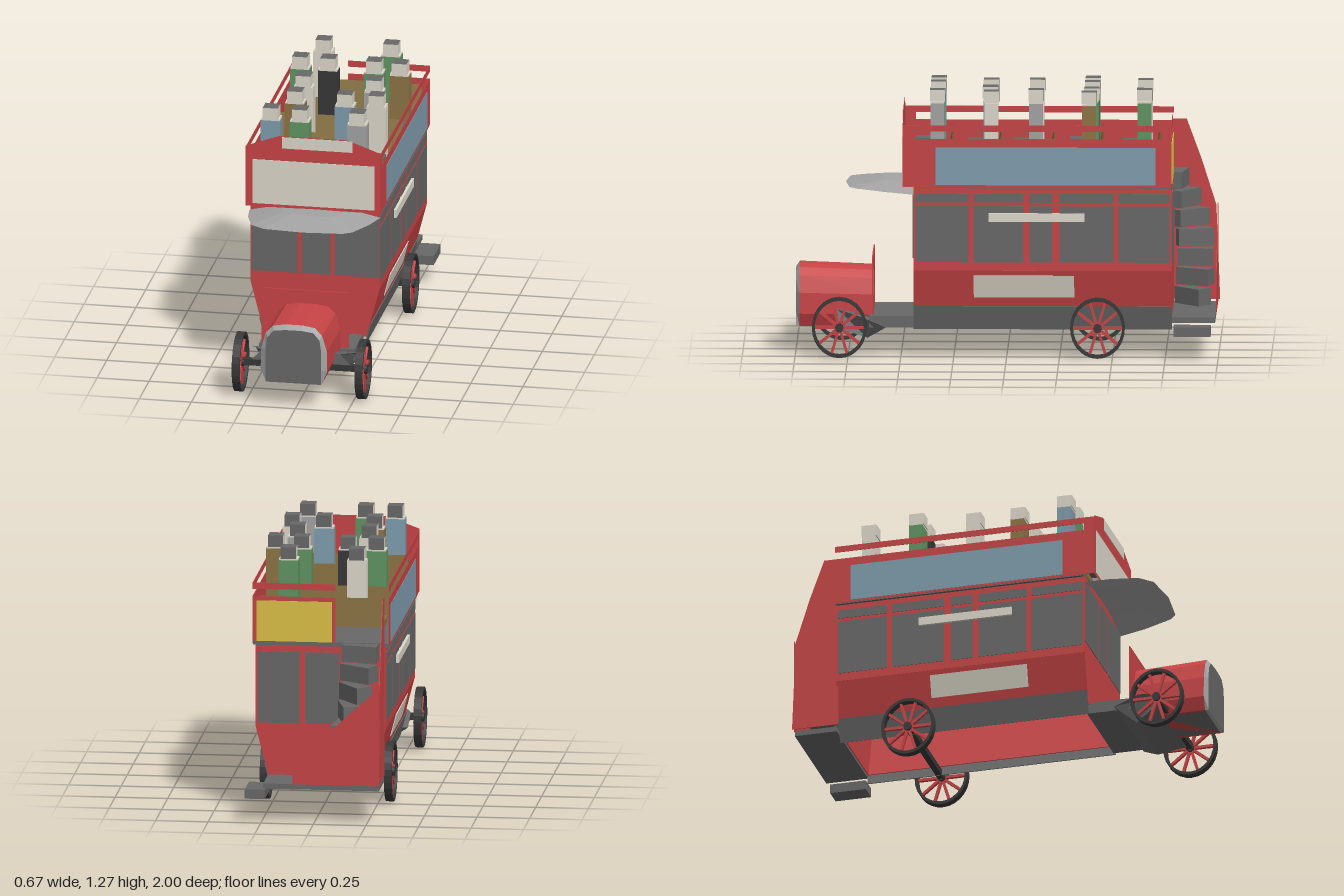
import * as THREE from 'three';

const mat = (name, color) => {
  const m = new THREE.MeshStandardMaterial({ color, side: THREE.DoubleSide });
  m.name = name;
  return m;
};

export function createModel() {
  const red = mat('red', 0xc84446), grey = mat('darkGrey', 0x686868), light = mat('lightGrey', 0xa4a4a4),
    cream = mat('cream', 0xded9cb), blue = mat('blue', 0x809eae), brown = mat('brown', 0x8d7545),
    green = mat('green', 0x619563), yellow = mat('yellow', 0xdcc046), black = mat('black', 0x383838);
  const bus = new THREE.Group();
  bus.name = 'bus';
  const MID = -0.01; // body centre line

  const add = (name, geo, m, parent = bus) => {
    const mesh = new THREE.Mesh(geo, m);
    mesh.name = name;
    parent.add(mesh);
    return mesh;
  };
  const box = (name, m, x0, x1, y0, y1, z0, z1, parent = bus) => {
    const mesh = add(name, new THREE.BoxGeometry(Math.abs(x1 - x0), y1 - y0, Math.abs(z1 - z0)), m, parent);
    mesh.position.set((x0 + x1) / 2, (y0 + y1) / 2, (z0 + z1) / 2);
    return mesh;
  };
  const shape = pts => new THREE.Shape(pts.map(p => new THREE.Vector2(...p)));
  // outline in x,y pushed along z
  const prism = (name, m, pts, z0, z1) => {
    const g = new THREE.ExtrudeGeometry(shape(pts), { depth: z1 - z0, bevelEnabled: false });
    g.translate(0, 0, z0);
    return add(name, g, m);
  };
  // outline in z,y pushed along x
  const sidePrism = (name, m, pts, x0, x1) => {
    const g = new THREE.ExtrudeGeometry(shape(pts.map(([z, y]) => [-z, y])), { depth: x1 - x0, bevelEnabled: false });
    g.rotateY(Math.PI / 2);
    g.translate(x0, 0, 0);
    return add(name, g, m);
  };
  const mirrored = half => [...half, ...half.map(([x, y]) => [2 * MID - x, y]).reverse()];
  // flat-shaded skin over rings of [x, y, z] points
  const skin = (name, m, rings, closed) => {
    const n = rings[0].length, idx = [];
    for (let r = 0; r < rings.length - 1; r++)
      for (let i = 0; i < (closed ? n : n - 1); i++) {
        const a = r * n + i, b = r * n + (i + 1) % n;
        idx.push(a, b, b + n, a, b + n, a + n);
      }
    const g = new THREE.BufferGeometry();
    g.setAttribute('position', new THREE.Float32BufferAttribute(rings.flat(2), 3));
    g.setIndex(idx);
    const flat = g.toNonIndexed();
    flat.computeVertexNormals();
    return add(name, flat, m);
  };

  // Lower deck ends; the body is open underneath
  const section = mirrored([[0.237, 0.18], [0.299, 0.42], [0.299, 0.82]]);
  prism('lowerFront', red, section, 0.436, 0.44);
  prism('lowerRear', red, section, -0.78, -0.776);

  // Lower deck sides, windows, signs and skirts
  const tilt = Math.atan2(0.062, 0.24);
  const panes = [[0.43, 0.18], [0.155, -0.08], [-0.11, -0.215], [-0.25, -0.505], [-0.53, -0.77]];
  for (const s of [-1, 1]) {
    const X = d => MID + s * d;
    // plate lying on the sloped lower side, at an offset from it
    const sloped = (name, m, y, height, z0, z1, off) => {
      const p = box(name, m, -0.002, 0.002, -height / 2, height / 2, z0, z1);
      p.position.x = X(0.309 - (0.42 - y) * 0.062 / 0.24 + off);
      p.position.y = y;
      p.rotation.z = -s * tilt;
    };
    box('lowerSide', red, X(0.306), X(0.309), 0.42, 0.82, 0.44, -0.78);
    sloped('lowerSlope', red, 0.3, 0.248, 0.44, -0.78, -0.002);
    sloped('lowerSidePanel', cream, 0.342, 0.11, 0.155, -0.32, 0.004);
    sloped('skirt', grey, 0.1875, 0.117, 0.44, -0.78, 0.003);
    for (const [a, b] of panes) {
      box('sideWindow', grey, X(0.308), X(0.312), 0.46, 0.728, a, b);
      box('sideTransom', grey, X(0.308), X(0.312), 0.745, 0.787, a, b);
    }
    box('sideNameStrip', cream, X(0.309), X(0.325), 0.655, 0.695, 0.085, -0.37);

    // Upper deck side, advert and rail
    box('upperSide', red, X(0.322), X(0.324), 0.82, 1.05, 0.49, -0.78);
    box('sideAdvert', blue, X(0.323), X(0.326), 0.83, 1.01, 0.335, -0.705);
    box('sideRail', red, X(0.322), X(0.324), 1.085, 1.115, 0.44, -0.78);
    box('frontReturn', red, X(0.322), X(0.324), 1.05, 1.115, 0.44, 0.49);
  }

  // Lower deck front and rear windows
  for (const [a, b] of [[-0.315, -0.095], [-0.075, 0.065], [0.085, 0.298]])
    box('frontWindow', grey, a, b, 0.48, 0.785, 0.439, 0.443);
  for (const [a, b] of [[0.09, 0.29], [-0.1, 0.065]])
    box('rearWindow', grey, a, b, 0.44, 0.785, -0.784, -0.779);

  // Upper deck floor, front and rear
  box('upperFloor', grey, -0.333, 0.313, 0.815, 0.835, -0.78, 0.435);
  add('upperFront', new THREE.ShapeGeometry(shape([[-0.335, 0.82], [0.315, 0.82], [0.315, 1.12],
    [0.155, 1.178], [-0.175, 1.178], [-0.335, 1.12]])), red).position.z = 0.49;
  box('frontAdvert', cream, -0.3, 0.285, 0.835, 1.055, 0.4905, 0.493);
  box('frontDestination', cream, -0.16, 0.18, 1.118, 1.174, 0.4905, 0.493);
  box('upperRear', red, -0.08, 0.315, 0.82, 1.05, -0.78, -0.777);
  box('rearAdvert', yellow, -0.065, 0.295, 0.835, 1.03, -0.784, -0.779);
  box('rearRail', red, -0.08, 0.315, 1.085, 1.115, -0.78, -0.777);

  // Drooping canopy over the driver
  const rim = [[-0.325, 0.44], [-0.31, 0.56], [-0.27, 0.69], [-0.2, 0.745], [-0.01, 0.765],
    [0.18, 0.745], [0.22, 0.71], [0.275, 0.57], [0.305, 0.44]];
  skin('canopy', light, [[0, 0.82], [0.5, 0.816], [1, 0.782]].map(([t, y]) =>
    rim.map(([x, z]) => [MID + (x - MID) * t, y + t * (z - 0.44) * 0.06, 0.44 + (z - 0.44) * t])), false);

  // Benches with leaning backs
  for (const z of [-0.72, -0.45, -0.22, 0.03, 0.26])
    sidePrism('bench', brown, [[z, 1.04], [z, 0.9], [z + 0.14, 0.9], [z + 0.14, 0.93], [z + 0.025, 0.93]], -0.305, 0.285);

  // Passengers: head is cream with grey crown and back
  const headMats = [cream, cream, grey, cream, cream, grey];
  const passengers = [
    [-0.17, -0.65, cream], [0.155, -0.65, green],
    [-0.235, -0.4, green], [-0.1, -0.4, black], [0.12, -0.4, green], [0.245, -0.39, brown],
    [-0.17, -0.138, cream], [0.17, -0.138, light],
    [-0.17, 0.08, brown], [0.07, 0.08, blue], [0.22, 0.072, cream],
    [-0.24, 0.328, blue], [-0.1, 0.328, green], [0.175, 0.328, light]];
  for (const [x, z, coat] of passengers) {
    const p = new THREE.Group();
    p.name = 'passenger';
    p.position.set(x, 0, z);
    bus.add(p);
    box('coat', coat, -0.047, 0.047, 0.92, 1.205, -0.032, 0.032, p);
    box('collar', cream, -0.045, 0.045, 1.205, 1.213, -0.032, 0.032, p);
    box('head', headMats, -0.036, 0.036, 1.213, 1.269, -0.036, 0.036, p);
    box('lap', grey, -0.049, 0.049, 0.93, 0.98, 0.032, 0.11, p);
  }

  // Rear platform and step
  box('rearPlatform', grey, -0.31, 0.24, 0.165, 0.19, -0.985, -0.78);
  box('boardingStep', grey, 0.235, 0.33, 0.11, 0.155, -0.965, -0.79);
  // Winding stairs: wedges turning from the deck to the platform
  for (let i = 0; i < 7; i++) {
    const len = 0.17;
    const wedge = new THREE.ExtrudeGeometry(shape([[0, -0.02], [len, -0.045], [len, 0.045], [0, 0.02]]), { depth: 0.08, bevelEnabled: false });
    wedge.rotateX(-Math.PI / 2);
    const step = add('stair', wedge, grey);
    step.position.set(-0.115, 0.752 - i * 0.09, -0.8);
    step.rotation.y = Math.PI - 0.05 - i * 0.37;
  }
  // Stair guard: side sheet and lower rear sheet
  sidePrism('stairGuardSide', red, [[-0.77, 1.06], [-0.77, 0.2], [-0.998, 0.2], [-0.98, 0.65], [-0.91, 0.87], [-0.84, 1.06]], -0.313, -0.31);
  prism('stairGuardRear', red, [[-0.31, 0.66], [-0.31, 0.19], [0.1, 0.19], [0.1, 0.39], [-0.1, 0.47]], -0.989, -0.986);

  // Bonnet and radiator
  const outline = mirrored([[0.125, 0.128], [0.15, 0.19], [0.148, 0.29], [0.125, 0.37], [0.09, 0.405], [0.03, 0.415]]);
  const face = mirrored([[0.122, 0.128], [0.124, 0.2], [0.124, 0.29], [0.115, 0.35], [0.085, 0.385], [0.03, 0.392]]);
  const at = (pts, z) => pts.map(([x, y]) => [x, y, z]);
  skin('bonnet', red, [at(outline.map(([x, y]) => [x, 0.128 + (y - 0.128) * 0.95]), 0.63), at(outline, 0.982)], true);
  skin('radiatorShell', light, [at(outline, 0.982), at(face, 0.998)], true);
  prism('radiatorGrille', grey, face, 0.99, 0.999);
  prism('dashboard', red, [[-0.23, 0.19], [0.19, 0.19], [0.19, 0.466], [-0.23, 0.466]], 0.632, 0.638);

  // Chassis and cab floor
  box('cabFloor', grey, -0.24, 0.22, 0.135, 0.19, 0.43, 0.65);
  box('frontFrame', grey, -0.13, 0.11, 0.128, 0.19, 0.64, 0.982);
  // Foot board, narrowing at its lower and upper edges
  const board = sidePrism('footBoard', grey, [[0.8, 0.215], [0.8, 0.14], [0.66, 0.08], [0.57, 0.14], [0.69, 0.19]], -0.27, 0.25);
  const bp = board.geometry.attributes.position;
  for (let i = 0; i < bp.count; i++)
    if (bp.getY(i) < 0.1 || bp.getY(i) > 0.2) bp.setX(i, MID + (bp.getX(i) - MID) * 0.72);
  board.geometry.computeVertexNormals();

  // Wheels and axles
  for (const z of [0.79, -0.43]) {
    box('axle', black, -0.29, 0.27, 0.133, 0.163, z - 0.015, z + 0.015);
    for (const s of [-1, 1]) {
      const wheel = new THREE.Group();
      wheel.name = 'wheel';
      wheel.position.set(-0.008 + s * 0.295, 0.145, z);
      wheel.scale.z = 0.9;
      bus.add(wheel);
      const ring = new THREE.Shape().absarc(0, 0, 0.144, 0, Math.PI * 2);
      ring.holes.push(new THREE.Path().absarc(0, 0, 0.129, 0, Math.PI * 2, true));
      const tyre = new THREE.ExtrudeGeometry(ring, { depth: 0.037, bevelEnabled: false, curveSegments: 14 });
      tyre.translate(0, 0, -0.0185);
      tyre.rotateY(Math.PI / 2);
      add('tyre', tyre, black, wheel);
      const hub = new THREE.CylinderGeometry(0.022, 0.022, 0.04, 10);
      hub.rotateZ(Math.PI / 2);
      add('hub', hub, black, wheel);
      for (let i = 0; i < 10; i++) {
        const spoke = new THREE.BoxGeometry(0.015, 0.115, 0.014);
        spoke.translate(0, 0.075, 0);
        spoke.rotateX((i + 0.5) * Math.PI / 5);
        add('spoke', spoke, red, wheel);
      }
    }
  }
  return bus;
}
